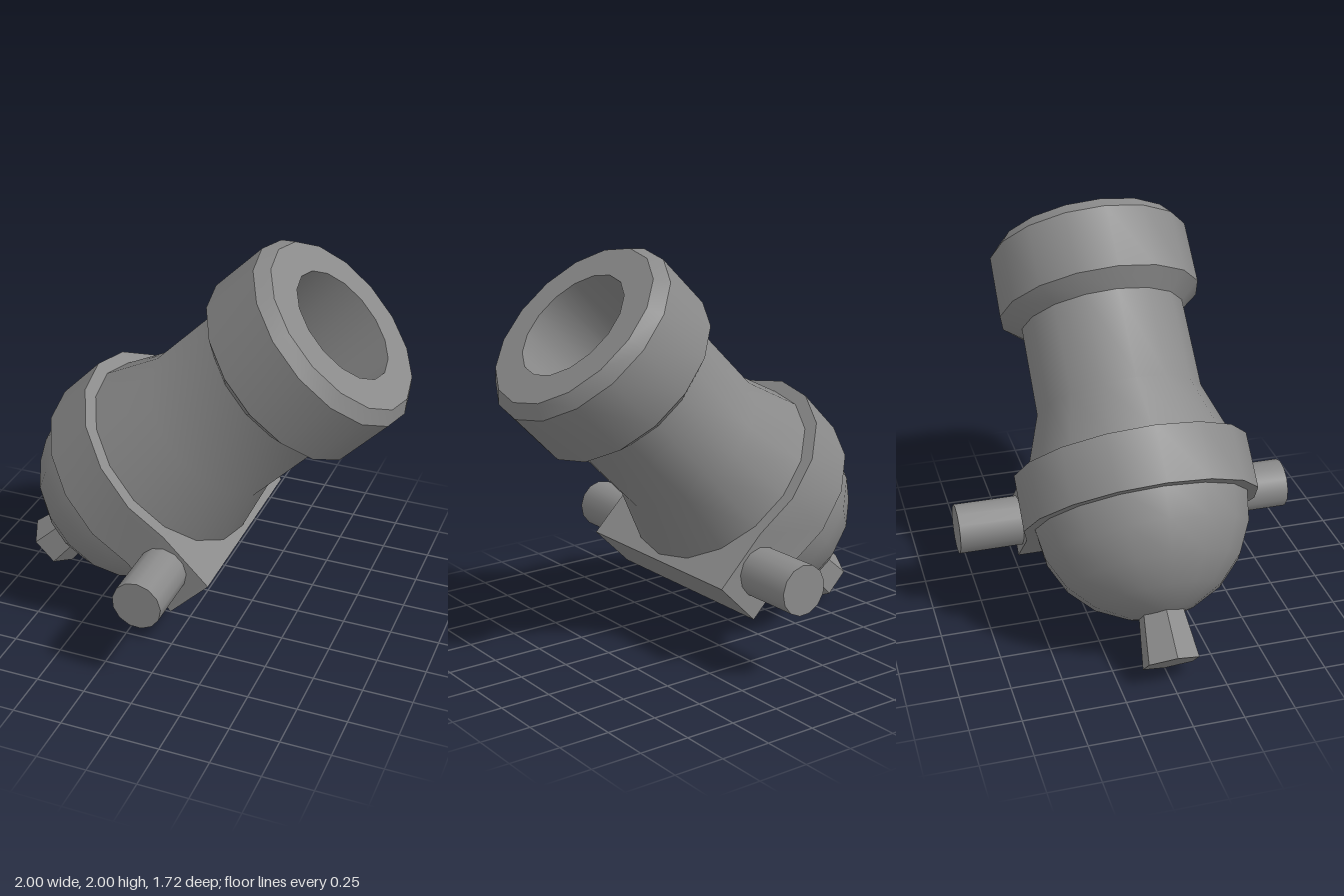
import * as THREE from 'three';
import { toCreasedNormals } from 'three/addons/utils/BufferGeometryUtils.js';

export function createModel() {
  const model = new THREE.Group();
  model.name = 'mortar';
  const material = new THREE.MeshStandardMaterial({ color: 0x8a8a8a });

  // Everything is built upright along y, then tilted 45 degrees
  const tilted = new THREE.Group();
  tilted.name = 'tiltedBarrel';
  tilted.rotation.z = -Math.PI / 4;
  tilted.position.set(-0.5, 0.5, 0);
  model.add(tilted);

  const add = (name, geometry) => {
    const mesh = new THREE.Mesh(toCreasedNormals(geometry, 0.62), material);
    mesh.name = name;
    tilted.add(mesh);
    return mesh;
  };

  // Barrel: round breech, flared waist, muzzle ring and bore
  const profile = [];
  for (let i = 0; i <= 5; i++) {
    const a = (i / 5) * Math.PI / 2;
    profile.push(new THREE.Vector2(0.535 * Math.sin(a), 0.195 - 0.535 * Math.cos(a)));
  }
  const upper = [
    [0.52, 0.456], [0.42, 0.746], [0.417, 1.202], [0.515, 1.28],
    [0.512, 1.598], [0.46, 1.66], [0.297, 1.66], [0.297, 0.5], [0, 0.5],
  ];
  profile.push(...upper.map(([r, y]) => new THREE.Vector2(r, y)));
  add('barrel', new THREE.LatheGeometry(profile, 16));

  // Trunnion band: round on top, squared off underneath
  const outline = [new THREE.Vector2(0.552, -0.542), new THREE.Vector2(0.552, 0.542)];
  for (let k = 3; k <= 13; k++) {
    const a = k * Math.PI / 8;
    outline.push(new THREE.Vector2(0.587 * Math.cos(a), 0.587 * Math.sin(a)));
  }
  const band = new THREE.ExtrudeGeometry(new THREE.Shape(outline), { depth: 0.279, bevelEnabled: false });
  band.rotateX(-Math.PI / 2);
  add('trunnionBand', band).position.y = 0.177;

  // Trunnions: one pin through the block
  const pin = new THREE.CylinderGeometry(0.125, 0.125, 1.72, 13);
  pin.rotateX(Math.PI / 2);
  add('trunnionPin', pin).position.set(0.357, 0.315, 0);

  // Hexagonal knob widening away from the breech
  const knob = new THREE.CylinderGeometry(0.1, 0.144, 0.36, 6);
  knob.rotateY(Math.PI / 2);
  add('breechKnob', knob).position.y = -0.381;

  return model;
}
